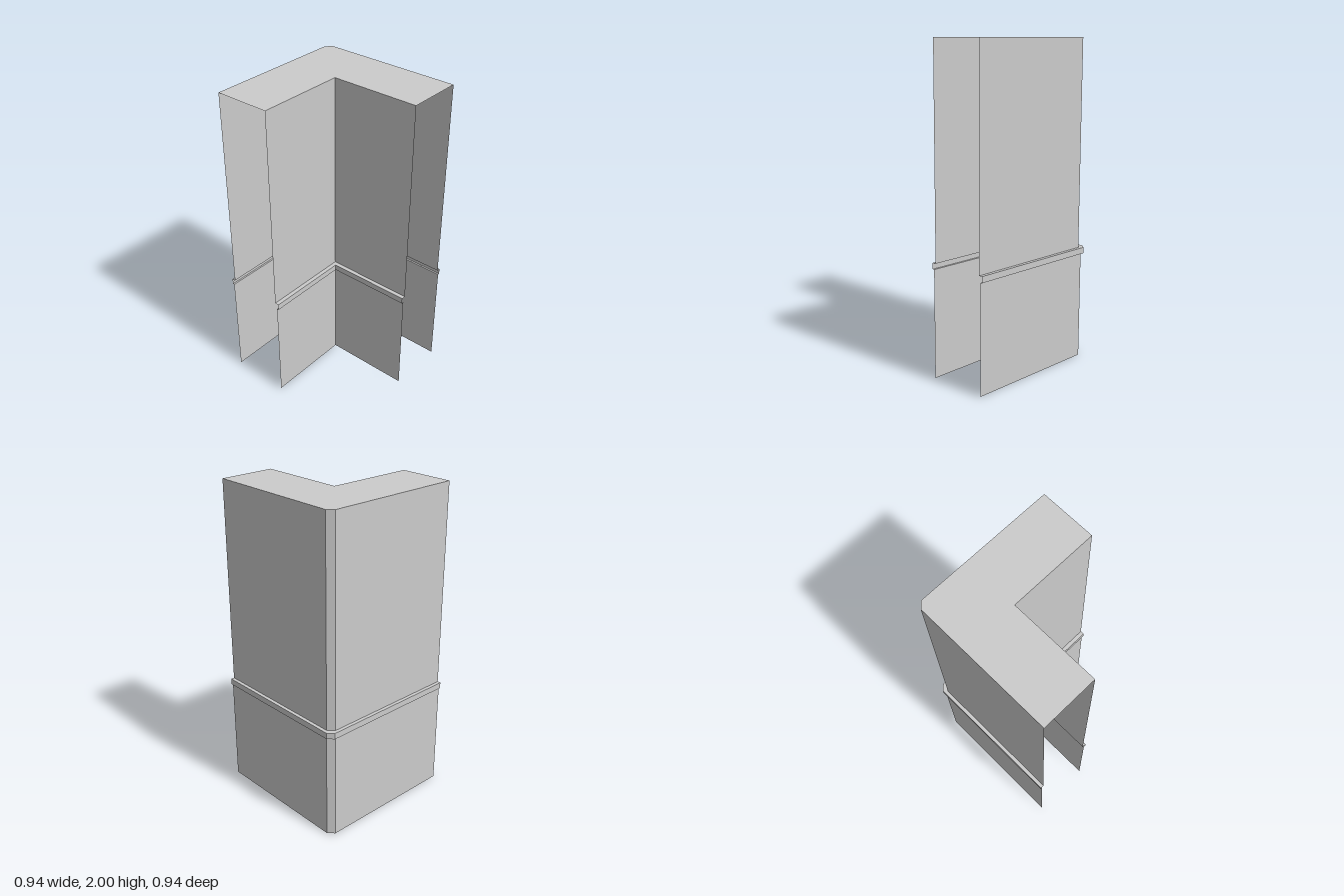
import * as THREE from 'three';

const END = 0.47; // open ends of both arms

// Outer (chamfered) and inner wall lines of the L plan, as [x, z] points
const outerLine = (o, c) => [[-o, END], [-o, -c], [-c, -o], [END, -o]];
const innerLine = (i) => [[END, -i], [-i, -i], [-i, END]];

// Plan dimensions of each level: outer face, chamfer start, inner face
const LOWER = { o: 0.46, c: 0.424, i: 0.082 };
const TRIM = { o: 0.471, c: 0.437, i: 0.069 };
const UPPER = { o: 0.449, c: 0.413, i: 0.095 };

// Skin between successive levels [plan, y], with open arm ends
function wallGeometry(levels) {
  const pos = [];
  const rings = levels.map(([p, y]) =>
    [outerLine(p.o, p.c), innerLine(p.i)].map((line) => line.map(([x, z]) => [x, y, z])));
  for (let k = 0; k < rings.length - 1; k++) {
    for (let side = 0; side < 2; side++) {
      const a = rings[k][side], b = rings[k + 1][side];
      for (let j = 0; j < a.length - 1; j++) {
        pos.push(...a[j], ...b[j], ...a[j + 1], ...a[j + 1], ...b[j], ...b[j + 1]);
      }
    }
  }
  const g = new THREE.BufferGeometry();
  g.setAttribute('position', new THREE.Float32BufferAttribute(pos, 3));
  g.computeVertexNormals();
  return g;
}

export function createModel() {
  const group = new THREE.Group();
  group.name = 'cornerWall';
  const material = new THREE.MeshStandardMaterial({
    color: 0xcccccc, side: THREE.DoubleSide, flatShading: true,
  });
  const add = (name, geometry) => {
    const mesh = new THREE.Mesh(geometry, material);
    mesh.name = name;
    group.add(mesh);
    return mesh;
  };

  const y0 = 0.672, y1 = 0.71, top = 2;
  add('lowerWall', wallGeometry([[LOWER, 0], [LOWER, y0]]));
  // Rail with its underside and top ledge
  add('trimRail', wallGeometry([[LOWER, y0], [TRIM, y0], [TRIM, y1], [UPPER, y1]]));
  add('upperWall', wallGeometry([[UPPER, y1], [UPPER, top]]));

  // Flat L-shaped cap
  const plan = [...outerLine(UPPER.o, UPPER.c), ...innerLine(UPPER.i)];
  const cap = new THREE.ShapeGeometry(new THREE.Shape(plan.map(([x, z]) => new THREE.Vector2(x, -z))));
  cap.rotateX(-Math.PI / 2);
  add('topCap', cap).position.y = top;

  return group;
}
